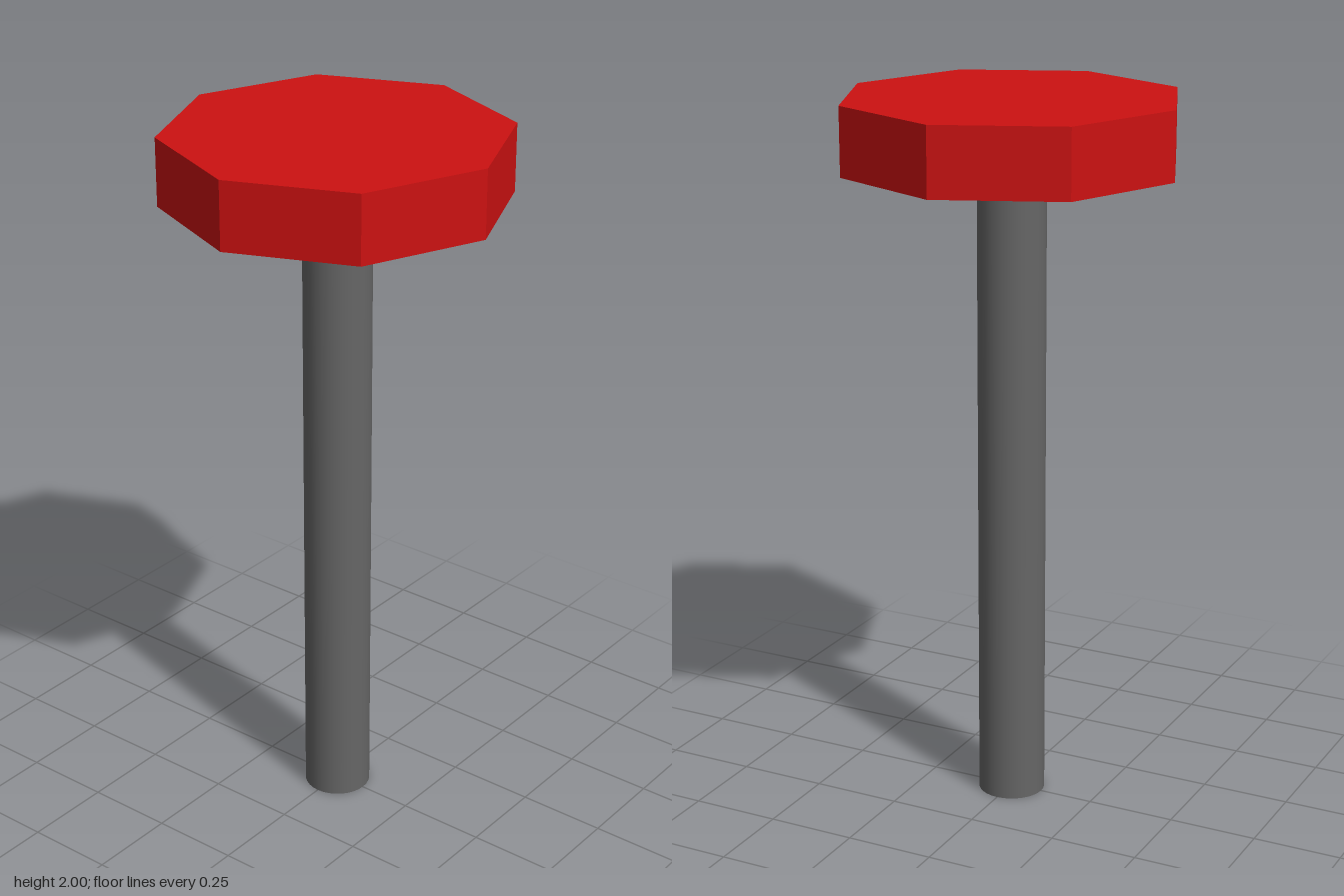
import * as THREE from 'three';

const HEIGHT = 2;
const HEAD_THICKNESS = 0.188;
const HEAD_RADIUS = 0.47;
const POST_RADIUS = 0.094;

export function createModel() {
  const model = new THREE.Group();
  model.name = 'octagonalHeadOnPost';

  // Upright cylinder standing between two heights
  const addCylinder = (name, radius, bottom, top, sides, material) => {
    const mesh = new THREE.Mesh(
      new THREE.CylinderGeometry(radius, radius, top - bottom, sides),
      material
    );
    mesh.name = name;
    mesh.position.y = (bottom + top) / 2;
    model.add(mesh);
  };

  const headBottom = HEIGHT - HEAD_THICKNESS;

  // Smooth round post, meeting the underside of the head
  addCylinder('post', POST_RADIUS, 0, headBottom, 32,
    new THREE.MeshStandardMaterial({ color: 0x666666 }));

  // Flat eight-sided head with corners on the x and z axes
  addCylinder('head', HEAD_RADIUS, headBottom, HEIGHT, 8,
    new THREE.MeshStandardMaterial({ color: 0xcc1111, flatShading: true }));

  return model;
}
